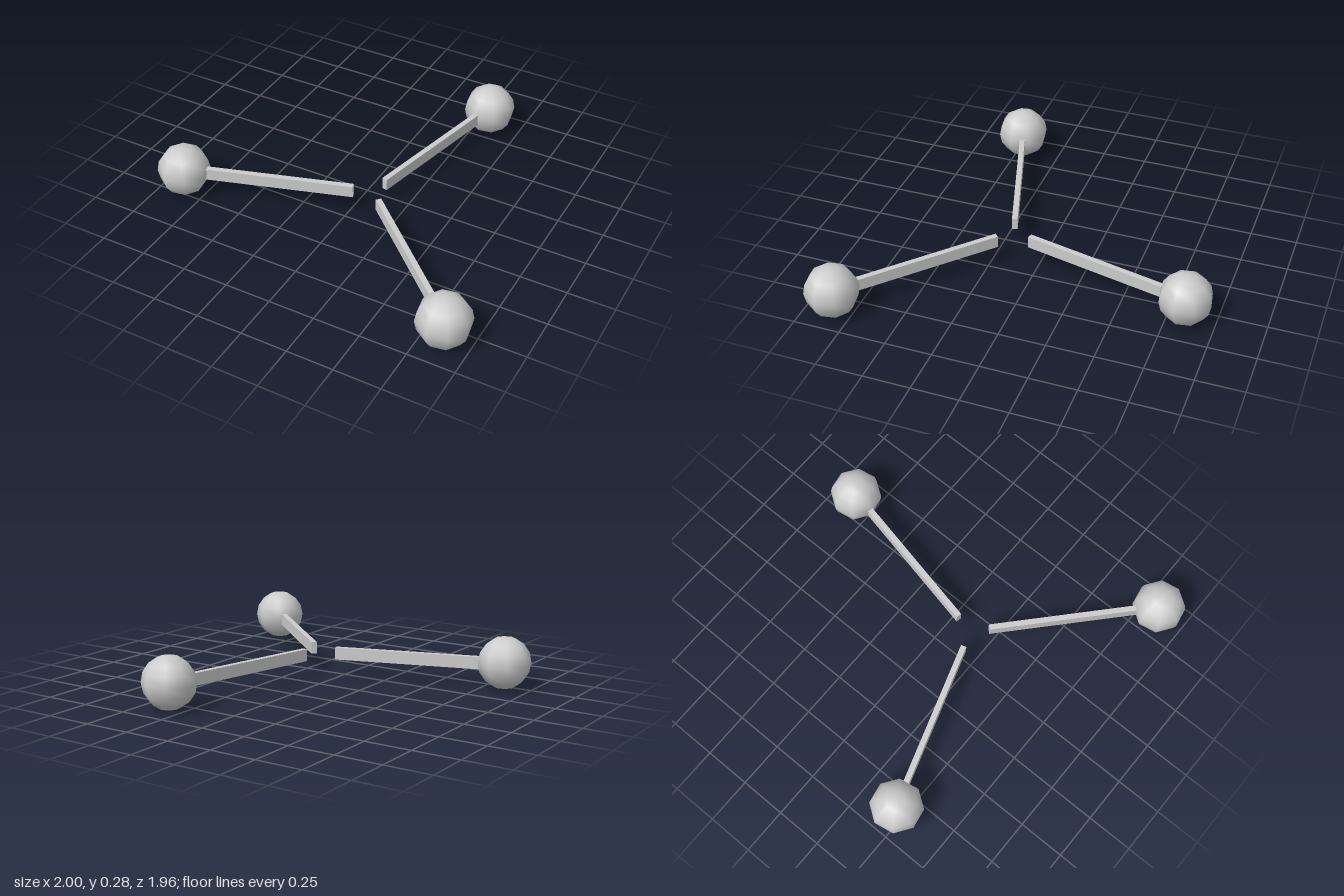
import * as THREE from 'three';

const ARM_COUNT = 3;
const FIRST_ANGLE = THREE.MathUtils.degToRad(42.5); // measured from +x towards +z
const BALL_DISTANCE = 1.02;
const BALL_RADIUS = 0.141;
const BAR_START = 0.1;
const BAR_END = 0.93;

export function createModel() {
  const model = new THREE.Group();
  model.name = 'threeArmedSpinner';
  const material = new THREE.MeshStandardMaterial({ color: 0xcccccc });

  // Shared shapes: flat upright bar and eight-sided smooth ball
  const barGeometry = new THREE.BoxGeometry(BAR_END - BAR_START, 0.066, 0.03);
  const ballGeometry = new THREE.SphereGeometry(BALL_RADIUS, 8, 8);
  // All balls face the same way, whatever the direction of their arm
  ballGeometry.rotateY(THREE.MathUtils.degToRad(-12.5));

  // Arms radiate from an open middle
  for (let i = 0; i < ARM_COUNT; i++) {
    const angle = FIRST_ANGLE + (i * Math.PI * 2) / ARM_COUNT;
    const dx = Math.cos(angle);
    const dz = Math.sin(angle);

    const arm = new THREE.Group();
    arm.name = `arm${i + 1}`;
    arm.position.set(0.112, 0, 0.155);

    const bar = new THREE.Mesh(barGeometry, material);
    bar.name = 'bar';
    const middle = (BAR_START + BAR_END) / 2;
    bar.position.set(dx * middle, 0.131, dz * middle);
    bar.rotation.y = -angle;

    const ball = new THREE.Mesh(ballGeometry, material);
    ball.name = 'ball';
    ball.position.set(dx * BALL_DISTANCE, BALL_RADIUS, dz * BALL_DISTANCE);

    arm.add(bar, ball);
    model.add(arm);
  }
  return model;
}
